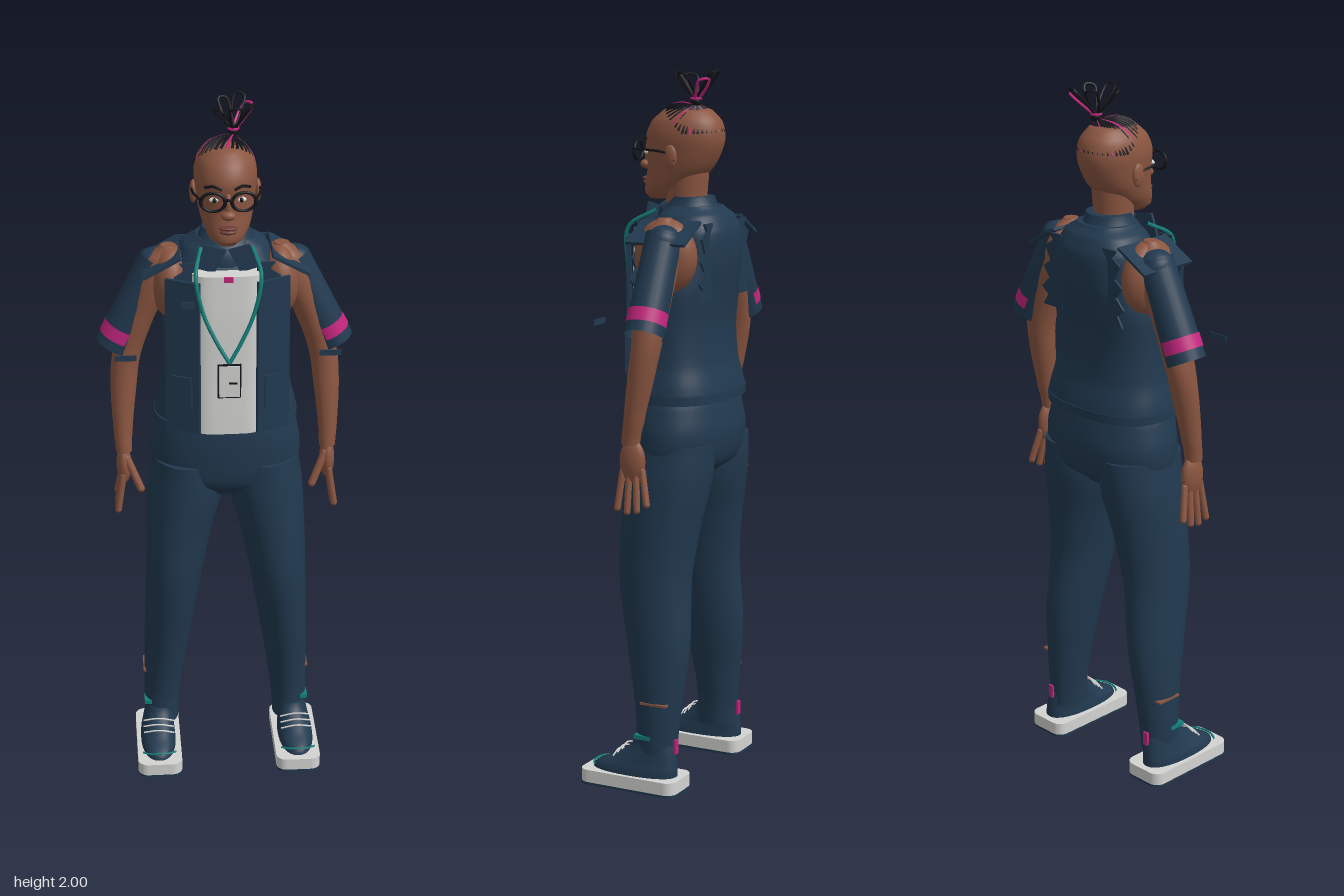
import * as THREE from 'three';

const V = (x, y, z) => new THREE.Vector3(x, y, z);

export function createModel() {
  const model = new THREE.Group();
  const mat = (name, color, side = THREE.FrontSide) => {
    const m = new THREE.MeshStandardMaterial({ color, side });
    m.name = name;
    return m;
  };
  const navy = mat('navy cloth', 0x21394f, THREE.DoubleSide);
  const skin = mat('brown skin', 0x8a5540);
  const lip = mat('lip brown', 0x6b3a32);
  const white = mat('light grey', 0xd3d4d1);
  const black = mat('black', 0x14141a);
  const teal = mat('teal', 0x13807a);
  const pink = mat('pink', 0xc2257d);

  const add = (name, geo, material) => {
    const mesh = new THREE.Mesh(geo, material);
    mesh.name = name;
    model.add(mesh);
    return mesh;
  };
  // Adds a +x part and its mirror image, with the faces turned back outward
  const pair = (name, geo, material) => {
    add(name + 'Left', geo, material);
    const g = geo.index ? geo.toNonIndexed() : geo.clone();
    g.scale(-1, 1, 1);
    for (const a of Object.values(g.attributes)) {
      const n = a.itemSize, arr = a.array;
      for (let i = 0; i < arr.length; i += 3 * n)
        for (let k = 0; k < n; k++) [arr[i + n + k], arr[i + 2 * n + k]] = [arr[i + 2 * n + k], arr[i + n + k]];
    }
    add(name + 'Right', g, material);
  };

  // Smooth loft through horizontal rings [y, centreX, halfWidth, frontZ, backZ], lowest first
  const loft = (rings, p = 2, seg = 36, sub = 5) => {
    const rows = [], pos = [], idx = [];
    for (let i = 0; i < rings.length - 1; i++) {
      const [a, b, c, d] = [i - 1, i, i + 1, i + 2].map(k => rings[Math.min(Math.max(k, 0), rings.length - 1)]);
      for (let s = 0; s < sub; s++) {
        const t = s / sub;
        rows.push(b.map((v, k) => k === 0 ? v + (c[0] - v) * t : v + 0.5 * t * (c[k] - a[k] +
          t * (2 * a[k] - 5 * v + 4 * c[k] - d[k] + t * (3 * (v - c[k]) + d[k] - a[k])))));
      }
    }
    rows.push(rings[rings.length - 1]);
    const ring = ([y, cx, rx, f, b]) => {
      for (let j = 0; j < seg; j++) {
        const t = j / seg * Math.PI * 2, c = Math.cos(t), s = Math.sin(t);
        pos.push(cx + rx * Math.sign(c) * Math.abs(c) ** (2 / p), y,
          (f + b) / 2 + (f - b) / 2 * Math.sign(s) * Math.abs(s) ** (2 / p));
      }
    };
    rows.forEach(ring);
    for (let i = 0; i < rows.length - 1; i++)
      for (let j = 0; j < seg; j++) {
        const a = i * seg + j, b = i * seg + (j + 1) % seg;
        idx.push(a, a + seg, b, b, a + seg, b + seg);
      }
    for (const [r, top] of [[rows[0], false], [rows[rows.length - 1], true]]) {
      const o = pos.length / 3;
      ring(r);
      pos.push(r[1], r[0], (r[3] + r[4]) / 2);
      for (let j = 0; j < seg; j++) {
        const k = (j + 1) % seg;
        idx.push(o + seg, o + (top ? k : j), o + (top ? j : k));
      }
    }
    const g = new THREE.BufferGeometry();
    g.setAttribute('position', new THREE.Float32BufferAttribute(pos, 3));
    g.setIndex(idx);
    g.computeVertexNormals();
    return g;
  };
  const ball = (x, y, z, rx, ry, rz) => new THREE.SphereGeometry(1, 24, 16).scale(rx, ry, rz).translate(x, y, z);
  const box = (x, y, z, w, h, d, ry = 0, rz = 0) =>
    new THREE.BoxGeometry(w, h, d).rotateZ(rz).rotateY(ry).translate(x, y, z);
  const tube = (pts, r, closed = false, seg = 20) =>
    new THREE.TubeGeometry(new THREE.CatmullRomCurve3(pts, closed), seg, r, 6, closed);
  // Sleeve-like cylinder or rounded finger running from a up to b
  const between = (g, a, b) => {
    const q = new THREE.Quaternion().setFromUnitVectors(V(0, 1, 0), b.clone().sub(a).normalize());
    const m = a.clone().add(b).multiplyScalar(0.5);
    return g.applyQuaternion(q).translate(m.x, m.y, m.z);
  };
  const finger = (a, b, r) => between(new THREE.CapsuleGeometry(r, a.distanceTo(b), 4, 10), a, b);
  const plate = (pts, depth) => new THREE.ExtrudeGeometry(
    new THREE.Shape(pts.map(p => new THREE.Vector2(...p))), { depth, bevelEnabled: false });

  // Shoes
  const soleShape = new THREE.Shape();
  const r = 0.03, w = 0.065, l = 0.15;
  soleShape.absarc(w - r, l - r, r, 0, Math.PI / 2).absarc(r - w, l - r, r, Math.PI / 2, Math.PI)
    .absarc(r - w, r - l, r, Math.PI, Math.PI * 1.5).absarc(w - r, r - l, r, Math.PI * 1.5, Math.PI * 2);
  const soleSlab = (y, h) => new THREE.ExtrudeGeometry(soleShape, { depth: h, bevelEnabled: false, curveSegments: 6 })
    .rotateX(-Math.PI / 2).translate(0.205, y, 0.03);
  pair('outsole', soleSlab(0, 0.007), navy);
  pair('midsole', soleSlab(0.007, 0.036), white);
  pair('shoeUpper', loft([[0.04, 0.206, 0.052, 0.16, -0.1], [0.06, 0.206, 0.05, 0.148, -0.1],
    [0.08, 0.204, 0.046, 0.105, -0.098], [0.11, 0.2, 0.043, 0.055, -0.095], [0.14, 0.197, 0.04, 0.03, -0.09]], 2.3), navy);
  pair('toeTrim', tube([V(0.157, 0.058, 0.135), V(0.18, 0.06, 0.148), V(0.206, 0.062, 0.151),
    V(0.232, 0.06, 0.148), V(0.255, 0.058, 0.135)], 0.003), teal);
  for (let i = 0; i < 3; i++) {
    const z = 0.05 + i * 0.014, y = 0.122 - i * 0.012;
    pair('lace' + i, tube([V(0.16, y - 0.012, z), V(0.205, y, z + 0.005), V(0.25, y - 0.008, z)], 0.0025), white);
  }
  pair('heelTab', box(0.2, 0.13, -0.096, 0.016, 0.04, 0.008), pink);

  // Trousers
  pair('trouserLeg', loft([[0.085, 0.193, 0.05, 0.03, -0.09], [0.2, 0.188, 0.055, 0.03, -0.1],
    [0.4, 0.171, 0.068, 0.065, -0.12], [0.6, 0.152, 0.081, 0.1, -0.115], [0.75, 0.134, 0.094, 0.101, -0.132],
    [0.88, 0.113, 0.108, 0.1, -0.155], [0.98, 0.108, 0.1, 0.095, -0.16]]), navy);
  add('trouserSeat', loft([[0.875, 0, 0.1, 0.05, -0.1], [0.92, 0, 0.195, 0.09, -0.155],
    [1.0, 0, 0.213, 0.1, -0.172], [1.08, 0, 0.2, 0.1, -0.162], [1.13, 0, 0.185, 0.09, -0.15]], 2.2), navy);
  pair('ankleTab', box(0.222, 0.155, -0.01, 0.044, 0.012, 0.05), teal);
  pair('trouserSlit', box(0.222, 0.255, -0.045, 0.046, 0.006, 0.08), skin);

  // Vest, shirt and collar
  add('vest', loft([[1.095, 0, 0.197, 0.1, -0.166], [1.125, 0, 0.198, 0.1, -0.166], [1.2, 0, 0.182, 0.092, -0.148],
    [1.3, 0, 0.176, 0.092, -0.143], [1.4, 0, 0.172, 0.092, -0.155], [1.48, 0, 0.148, 0.082, -0.17],
    [1.56, 0, 0.138, 0.06, -0.17], [1.605, 0, 0.115, 0.035, -0.15], [1.63, 0, 0.08, 0.02, -0.125]], 2.5, 48), navy);
  add('vestHem', loft([[1.095, 0, 0.201, 0.114, -0.17], [1.12, 0, 0.201, 0.11, -0.17]], 2.5, 48), navy);
  add('shirtFront', loft([[1.1, 0, 0.1, 0.116, -0.05], [1.3, 0, 0.1, 0.11, -0.05], [1.45, 0, 0.1, 0.11, -0.05],
    [1.565, 0, 0.098, 0.106, -0.05]], 4), white);
  pair('vestPanel', box(0.123, 1.325, 0.089, 0.1, 0.45, 0.01, 0.45), navy);
  pair('vestPocket', box(0.127, 1.22, 0.094, 0.06, 0.1, 0.008, 0.45), navy);
  add('chestPatch', box(-0.11, 1.49, 0.115, 0.035, 0.02, 0.004), navy);
  add('collar', loft([[1.57, 0, 0.11, 0.055, -0.135], [1.61, 0, 0.085, 0.045, -0.125], [1.655, 0, 0.064, 0.01, -0.105]]), navy);
  pair('collarFlap', plate([[0.002, 1.625], [0.06, 1.64], [0.085, 1.575], [0.035, 1.56]], 0.008)
    .translate(0, 0, 0.055), navy);
  add('neckClip', box(0, 1.56, 0.112, 0.026, 0.014, 0.008), pink);

  // Torn armhole edges, front and back
  const torn = [[0.08, 1.38], [0.155, 1.38], [0.135, 1.41], [0.16, 1.43], [0.13, 1.46], [0.152, 1.49],
    [0.125, 1.51], [0.145, 1.55], [0.115, 1.57], [0.13, 1.59], [0.08, 1.59]];
  pair('tornEdgeFront', plate(torn, 0.006).translate(0, 0, 0.062), navy);
  pair('tornEdgeBack', plate(torn, 0.006).translate(0, 0, -0.148), navy);

  // Lanyard and badge
  pair('lanyard', tube([V(0.07, 1.62, 0.03), V(0.088, 1.57, 0.11), V(0.07, 1.47, 0.122), V(0.035, 1.39, 0.135),
    V(0, 1.33, 0.147)], 0.0055), teal);
  add('badgeFrame', box(0, 1.275, 0.142, 0.064, 0.1, 0.005), black);
  add('badge', box(0, 1.275, 0.144, 0.056, 0.092, 0.006), white);
  add('badgeLine', box(0.01, 1.27, 0.147, 0.022, 0.006, 0.002), black);

  // Shoulders, sleeves and arms
  pair('shoulder', ball(0.15, 1.5, -0.04, 0.056, 0.105, 0.092), skin);
  pair('arm', loft([[1.0, 0.288, 0.023, 0.022, -0.03], [1.06, 0.289, 0.027, 0.015, -0.043],
    [1.18, 0.285, 0.036, 0.003, -0.07], [1.28, 0.274, 0.04, -0.005, -0.09], [1.4, 0.237, 0.046, 0, -0.1],
    [1.5, 0.195, 0.055, 0.008, -0.1], [1.57, 0.17, 0.048, 0.002, -0.09], [1.605, 0.155, 0.02, -0.02, -0.06]]), skin);
  const cuff = V(0.308, 1.302, -0.056), top = V(0.183, 1.56, -0.052);
  pair('sleeve', between(new THREE.CylinderGeometry(0.05, 0.054, cuff.distanceTo(top), 24, 1, true), cuff, top), navy);
  pair('sleeveBand', between(new THREE.CylinderGeometry(0.0555, 0.0557, 0.038, 24, 1, true, -0.3, 3.75),
    cuff.clone().lerp(top, 0.1), cuff.clone().lerp(top, 0.24)), pink);
  pair('sleeveCap', ball(0.192, 1.545, -0.055, 0.05, 0.045, 0.048), navy);
  pair('shoulderYoke', box(0.175, 1.567, -0.045, 0.115, 0.008, 0.18, 0, -0.5), navy);
  pair('looseTag', box(0.28, 1.33, 0.095, 0.06, 0.016, 0.004), navy);

  // Hands
  pair('palm', ball(0.289, 0.955, -0.01, 0.021, 0.062, 0.038), skin);
  for (let i = 0; i < 4; i++) {
    const z = 0.018 - i * 0.02, drop = [0.008, 0, 0.006, 0.025][i];
    pair('finger' + i, finger(V(0.308, 0.817 + drop, z * 1.5), V(0.292, 0.93, z), 0.0095), skin);
  }
  pair('thumb', finger(V(0.243, 0.895, 0.035), V(0.28, 0.98, 0.012), 0.011), skin);

  // Head and face
  add('neck', loft([[1.55, 0, 0.06, 0.035, -0.095], [1.64, 0, 0.054, 0.03, -0.085], [1.72, 0, 0.056, 0.03, -0.09]]), skin);
  add('head', loft([[1.645, 0, 0.026, 0.085, 0.02], [1.66, 0, 0.047, 0.097, -0.01], [1.69, 0, 0.064, 0.094, -0.055],
    [1.73, 0, 0.075, 0.087, -0.1], [1.78, 0, 0.082, 0.088, -0.128], [1.82, 0, 0.085, 0.09, -0.137],
    [1.86, 0, 0.076, 0.072, -0.128], [1.89, 0, 0.052, 0.038, -0.1], [1.905, 0, 0.018, 0, -0.06]], 2.1), skin);
  add('noseBridge', ball(0, 1.76, 0.09, 0.011, 0.036, 0.013), skin);
  add('noseTip', ball(0, 1.738, 0.1, 0.02, 0.013, 0.016), skin);
  add('upperLip', ball(0, 1.7, 0.094, 0.025, 0.006, 0.013), lip);
  add('lowerLip', ball(0, 1.689, 0.093, 0.022, 0.007, 0.013), lip);
  pair('ear', ball(0.087, 1.765, -0.02, 0.01, 0.033, 0.02), skin);
  pair('eyeWhite', ball(0.036, 1.775, 0.077, 0.014, 0.007, 0.009), white);
  pair('iris', ball(0.036, 1.775, 0.082, 0.006, 0.0065, 0.006), black);
  pair('eyebrow', tube([V(0.016, 1.806, 0.09), V(0.038, 1.814, 0.083), V(0.06, 1.806, 0.066)], 0.004), black);

  // Glasses
  pair('glassesRim', new THREE.TorusGeometry(0.03, 0.0048, 8, 28).scale(1.08, 0.85, 1)
    .rotateY(0.12).translate(0.041, 1.778, 0.103), black);
  add('glassesBridge', tube([V(-0.012, 1.782, 0.107), V(0, 1.786, 0.111), V(0.012, 1.782, 0.107)], 0.004), black);
  pair('glassesTemple', tube([V(0.074, 1.784, 0.099), V(0.088, 1.783, 0.05), V(0.092, 1.775, -0.01), V(0.091, 1.755, -0.035)], 0.0035), black);

  // Swept-back strands lying on the skull and meeting at a knot
  const centre = V(0, 1.79, -0.025), knot = V(0.025, 1.908, -0.068);
  const onSkull = v => {
    const d = v.clone().sub(centre), k = Math.hypot(d.x / 0.089, d.y / 0.12, d.z / 0.117);
    return centre.clone().add(d.divideScalar(k));
  };
  const strands = 40;
  for (let i = 0; i < strands; i++) {
    const a = i / strands * Math.PI * 2, front = Math.max(0, Math.sin(a));
    const rim = V(0.088 * Math.cos(a), 1.83 + 0.055 * front, -0.055 + 0.075 * Math.sin(a));
    const pts = [0, 0.25, 0.5, 0.75].map(t => onSkull(rim.clone().lerp(knot, t)));
    add('hairStrand' + i, tube([...pts, knot], 0.0038, false, 10), i % 7 === 3 ? pink : black);
  }
  add('hairKnot', ball(knot.x, 1.914, knot.z, 0.014, 0.014, 0.014), black);
  add('hairTie', new THREE.TorusGeometry(0.013, 0.004, 6, 18).rotateX(Math.PI / 2).translate(knot.x, 1.922, knot.z), pink);
  // Loops standing out of the knot: [sideways, up, forward] reach
  [[-0.045, 0.07, 0.04], [0.05, 0.075, 0.02], [0.02, 0.08, -0.07], [-0.03, 0.078, -0.045],
    [0.045, 0.06, -0.05], [0.005, 0.078, 0.06]].forEach(([x, y, z], i) => {
    const base = V(knot.x, 1.916, knot.z), side = V(-z, 0, x).normalize().multiplyScalar(0.02);
    const out = (t, s) => base.clone().add(V(x * t, y * t, z * t)).addScaledVector(side, s);
    add('hairLoop' + i, tube([base, out(0.6, 0.7), out(0.95, 0.8), out(1, -0.5), out(0.55, -0.7)], 0.004, true, 30),
      i === 4 ? pink : black);
  });
  return model;
}
